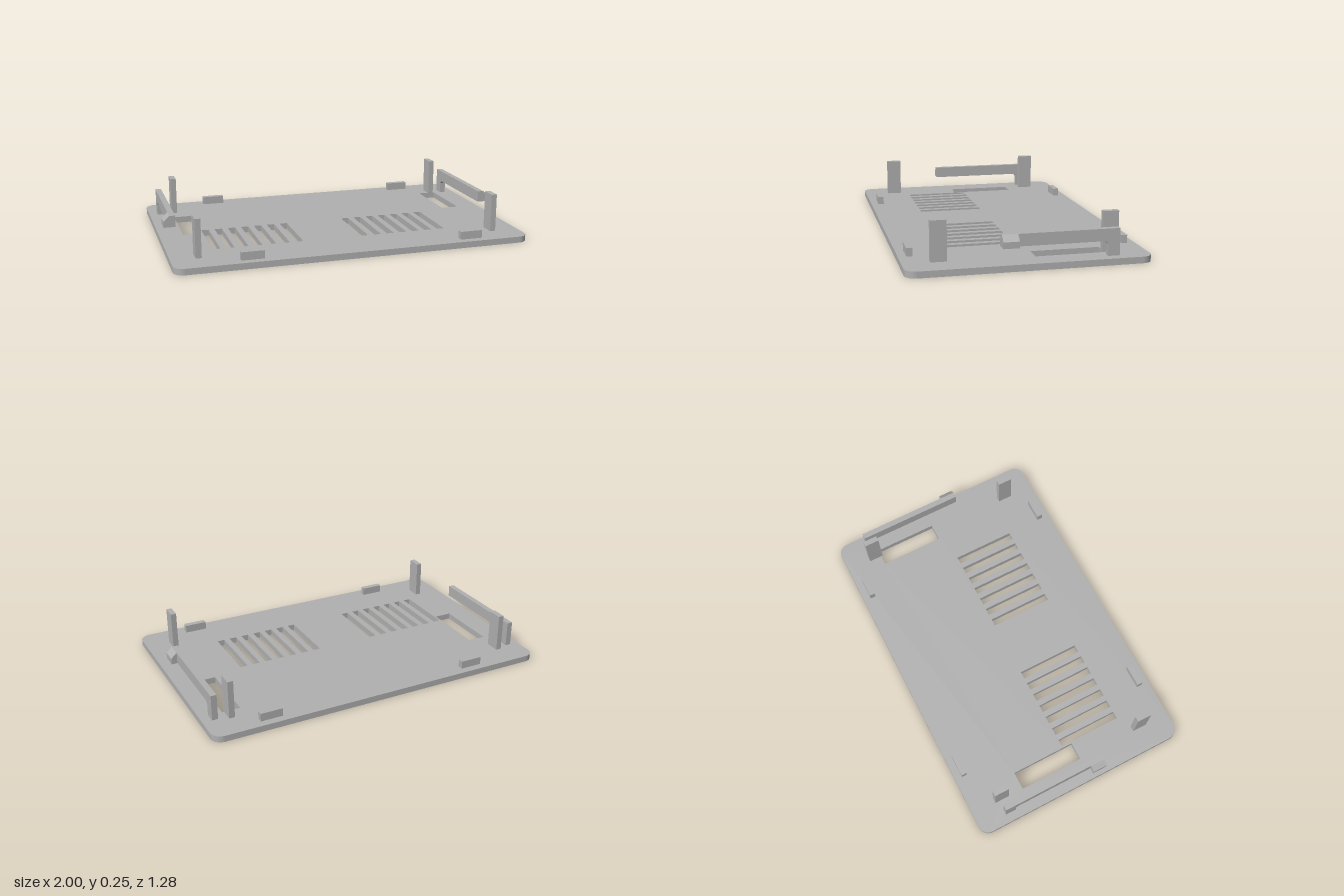
import * as THREE from 'three';
import { toCreasedNormals } from 'three/addons/utils/BufferGeometryUtils.js';

const T = 0.035; // plate thickness

export function createModel() {
  const group = new THREE.Group();
  const grey = new THREE.MeshStandardMaterial({ color: 0xb0b0b0 });
  grey.name = 'grey plastic';

  const add = (name, geometry) => {
    const mesh = new THREE.Mesh(geometry, grey);
    mesh.name = name;
    group.add(mesh);
  };
  // Box given by its limits on each axis
  const box = (name, x0, x1, y0, y1, z0, z1) => {
    const g = new THREE.BoxGeometry(x1 - x0, y1 - y0, z1 - z0);
    add(name, g.translate((x0 + x1) / 2, (y0 + y1) / 2, (z0 + z1) / 2));
  };
  const polygon = (points) => new THREE.Shape(points.map(([x, y]) => new THREE.Vector2(x, y)));

  // Base plate with rounded corners
  const W = 1, D = 0.64, R = 0.06;
  const plate = new THREE.Shape();
  plate.absarc(W - R, D - R, R, 0, Math.PI / 2);
  plate.absarc(-W + R, D - R, R, Math.PI / 2, Math.PI);
  plate.absarc(-W + R, -D + R, R, Math.PI, Math.PI * 1.5);
  plate.absarc(W - R, -D + R, R, Math.PI * 1.5, Math.PI * 2);
  plate.closePath();

  // Openings through the plate
  const cut = (x0, x1, z0, z1) =>
    plate.holes.push(polygon([[x0, -z0], [x1, -z0], [x1, -z1], [x0, -z1]]));
  for (const start of [-0.754, 0.091]) {
    for (let i = 0; i < 7; i++) {
      const x = start + i * 0.0775;
      cut(x, x + 0.043, -0.003, 0.364);
    }
  }
  cut(-0.866, -0.764, -0.32, 0.055);
  cut(0.77, 0.872, -0.42, 0.047 - 0.094);
  const plateGeo = new THREE.ExtrudeGeometry(plate, { depth: T, bevelEnabled: false, curveSegments: 8 });
  add('basePlate', toCreasedNormals(plateGeo.rotateX(-Math.PI / 2), 0.5));

  // Corner posts and low edge tabs
  for (const [z0, z1] of [[-0.495, -0.41], [0.41, 0.495]]) {
    box('rightPost', -0.866, -0.834, T, 0.25, z0, z1);
    box('leftPost', 0.829, 0.861, T, 0.25, z0, z1);
  }
  for (const [z0, z1] of [[-0.597, -0.565], [0.563, 0.596]]) {
    box('rightTab', -0.645, -0.518, T, 0.08, z0, z1);
    box('leftTab', 0.6, 0.727, T, 0.08, z0, z1);
  }

  // Side clips: cantilever arm on a leg, with a sloped hook at the free end
  const arm = polygon([
    [-0.472, T], [-0.41, T], [-0.41, 0.098], [-0.395, 0.114],
    [0.15, 0.114], [0.15, 0.179], [-0.472, 0.179],
  ]);
  for (const [side, name, x0, x1] of [[1, 'left', 0.914, 0.947], [-1, 'right', -0.952, -0.919]]) {
    const armGeo = new THREE.ExtrudeGeometry(arm, { depth: x1 - x0, bevelEnabled: false });
    add(name + 'ClipArm', armGeo.rotateY(-Math.PI / 2).translate(x1, 0, 0));

    const inner = side > 0 ? x1 : x0;
    const outer = inner + side * 0.033;
    const profile = [[inner, 0.114], [outer, 0.114], [outer, 0.148], [inner, 0.179]];
    const hookGeo = new THREE.ExtrudeGeometry(polygon(profile), { depth: 0.084, bevelEnabled: false });
    add(name + 'ClipHook', hookGeo.translate(0, 0, 0.066));
  }
  return group;
}
